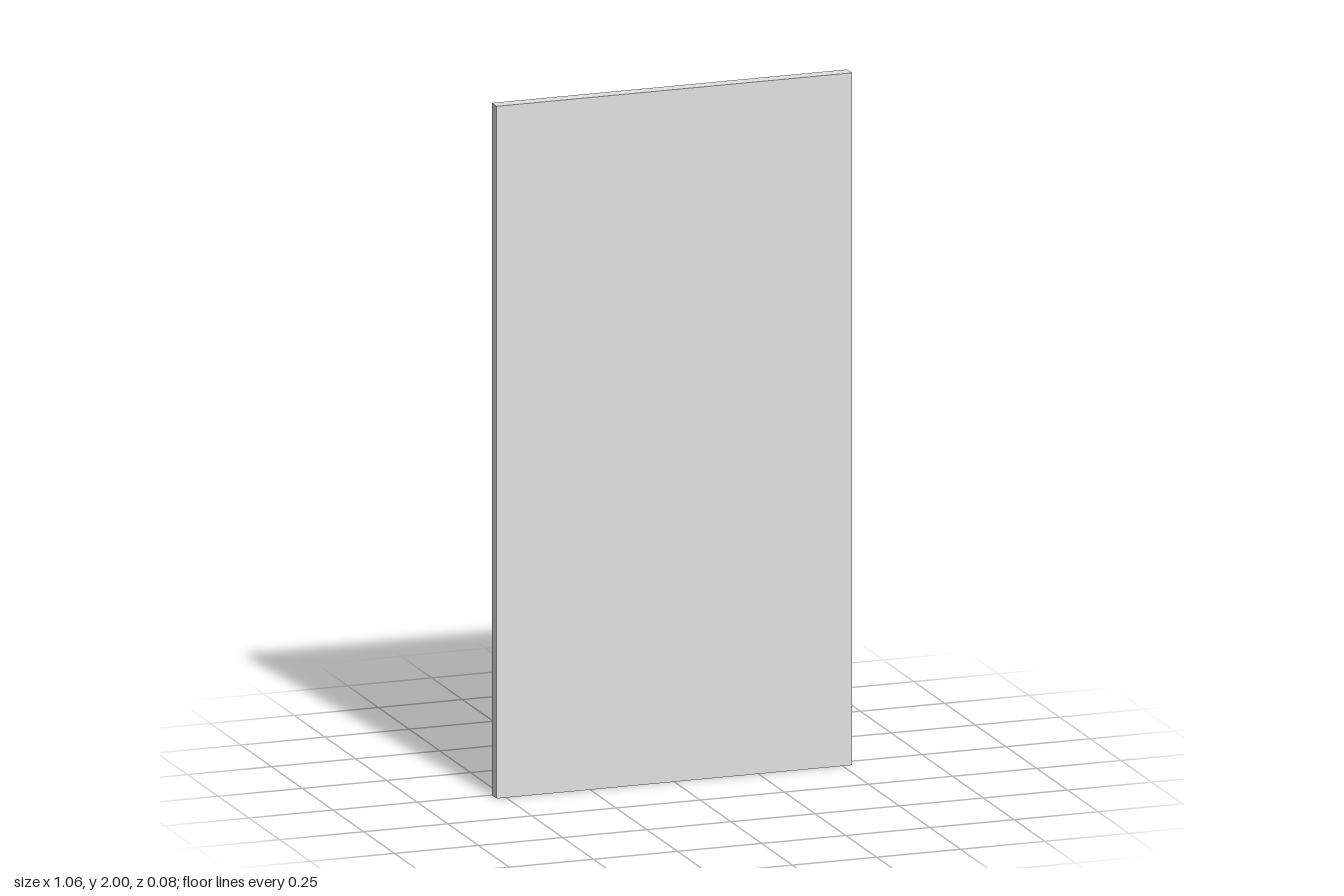
import * as THREE from 'three';
import { mergeGeometries, toCreasedNormals } from 'three/addons/utils/BufferGeometryUtils.js';

const HALF = 0.528, HEIGHT = 2, OPENING = 0.436, OPENING_TOP = 1.907;
const FRONT = 0.04, SLAB = 0.036, LEAF = 0.02, PANEL = 0.033, BACK = -0.005;

// Mitred sweep: profile points [inset, z] carried between the corners for each inset
function sweep(profile, cornersAt) {
  const legs = [];
  const count = cornersAt(0).length - 1;
  for (let k = 0; k < count; k++) {
    const pos = [], idx = [];
    profile.forEach(([d, z], i) => {
      const c = cornersAt(d);
      pos.push(...c[k], z, ...c[k + 1], z);
      if (i > 0) {
        const a = 2 * (i - 1);
        idx.push(a, a + 1, a + 3, a, a + 3, a + 2);
      }
    });
    const g = new THREE.BufferGeometry();
    g.setAttribute('position', new THREE.Float32BufferAttribute(pos, 3));
    g.setIndex(idx);
    legs.push(toCreasedNormals(g.toNonIndexed(), 0.45));
  }
  return mergeGeometries(legs);
}

function rectPath(Type, x0, y0, x1, y1) {
  return new Type([[x0, y0], [x1, y0], [x1, y1], [x0, y1]].map(p => new THREE.Vector2(...p)));
}

export function createModel() {
  const door = new THREE.Group();
  door.name = 'door';
  const grey = new THREE.MeshStandardMaterial({ color: 0xe1e1e1 });
  grey.name = 'paleGrey';

  const add = (name, geometry, parent = door) => {
    const mesh = new THREE.Mesh(geometry, grey);
    mesh.name = name;
    parent.add(mesh);
    return mesh;
  };
  // Box given by its two extreme corners
  const box = (name, x0, y0, z0, x1, y1, z1, parent) =>
    add(name, new THREE.BoxGeometry(x1 - x0, y1 - y0, z1 - z0), parent)
      .position.set((x0 + x1) / 2, (y0 + y1) / 2, (z0 + z1) / 2);

  // Plain front face
  box('frontSlab', -HALF, 0, SLAB, HALF, HEIGHT, FRONT);

  // Moulded casing: chamfered outer edge, long soft slope down to the opening
  const profile = [[0, SLAB], [0, 0.001], [0.007, BACK]];
  for (let i = 1; i <= 8; i++) {
    const t = i / 8;
    profile.push([0.007 + 0.073 * t, BACK + 0.007 * t * t * (3 - 2 * t)]);
  }
  profile.push([HALF - OPENING, 0.002], [HALF - OPENING, SLAB]);
  add('casing', sweep(profile, d => {
    const x = HALF - d, y = HEIGHT - d;
    return [[-x, 0], [-x, y], [x, y], [x, 0]];
  }));
  for (const side of [-1, 1]) {
    const foot = new THREE.Shape(profile.map(([d, z]) => new THREE.Vector2(side * (HALF - d), z)));
    add('casingFoot', new THREE.ShapeGeometry(foot).rotateX(Math.PI / 2));
  }

  // Door leaf with two openings
  const panels = [
    { name: 'upperPanel', y0: 0.93, y1: 1.822 },
    { name: 'lowerPanel', y0: 0.225, y1: 0.767 },
  ];
  const W = 0.341;
  const leaf = rectPath(THREE.Shape, -OPENING, 0, OPENING, OPENING_TOP);
  for (const { y0, y1 } of panels) leaf.holes.push(rectPath(THREE.Path, -W, y0, W, y1));
  add('leaf', new THREE.ExtrudeGeometry(leaf, { depth: SLAB - LEAF, bevelEnabled: false })
    .translate(0, 0, LEAF));

  // Recessed panels with a small bevel at the foot of the reveal
  for (const { name, y0, y1 } of panels) {
    box(name, -W, y0, PANEL, W, y1, SLAB);
    add(name + 'Bevel', sweep([[0, PANEL - 0.004], [0.004, PANEL]], d => {
      const x = W - d, a = y0 + d, b = y1 - d;
      return [[x, a], [-x, a], [-x, b], [x, b], [x, a]];
    }));
  }

  // Lever handle on a square rose
  const handle = new THREE.Group();
  handle.name = 'handle';
  door.add(handle);
  box('rose', -0.401, 0.966, 0.014, -0.356, 1.012, LEAF, handle);
  box('handlePost', -0.391, 0.976, -0.02, -0.367, 1.002, 0.014, handle);
  box('handleLever', -0.391, 0.976, -0.04, -0.248, 1.002, -0.02, handle);

  return door;
}
